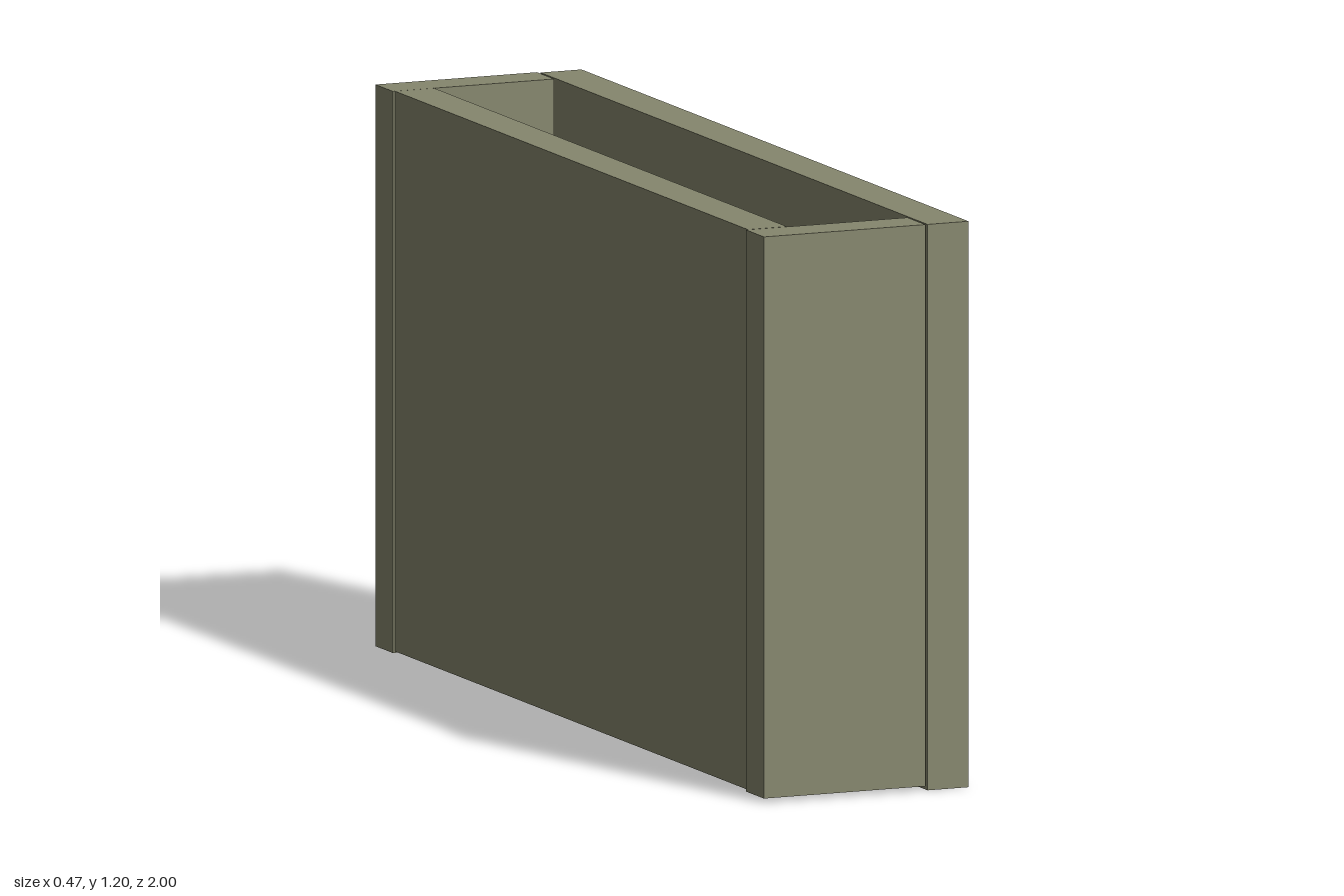
import * as THREE from 'three';

export function createModel() {
  const group = new THREE.Group();
  const olive = new THREE.MeshStandardMaterial({ color: 0x86876e });
  olive.name = 'olive board';

  // Board given by its extents on each axis
  const board = (name, [x0, x1], [y0, y1], [z0, z1]) => {
    const mesh = new THREE.Mesh(new THREE.BoxGeometry(x1 - x0, y1 - y0, z1 - z0), olive);
    mesh.position.set((x0 + x1) / 2, (y0 + y1) / 2, (z0 + z1) / 2);
    mesh.name = name;
    group.add(mesh);
  };

  // Long side boards: the left one covers the ends, the right one sits between them
  board('leftSide', [0.139, 0.232], [0, 1.195], [-0.993, 1]);
  board('rightSide', [-0.228, -0.139], [0.012, 1.195], [-0.91, 0.906]);

  // End boards, leaving a narrow gap beside the left side
  board('frontEnd', [-0.233, 0.134], [0.009, 1.195], [0.908, 1]);
  board('backEnd', [-0.233, 0.134], [0.009, 1.195], [-1, -0.911]);

  // Floor between the boards
  board('floor', [-0.139, 0.138], [0.016, 0.108], [-0.91, 0.906]);

  return group;
}
